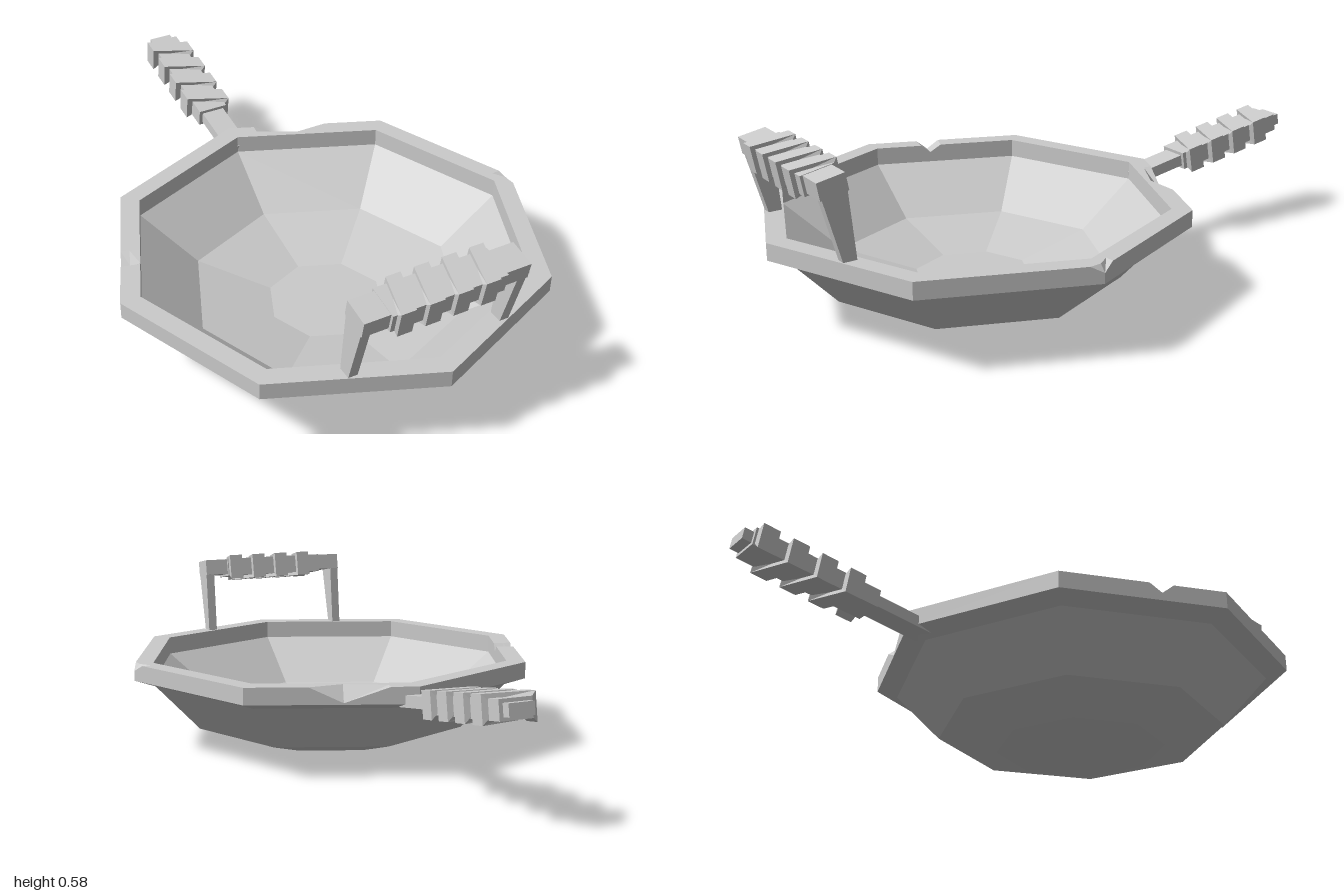
import * as THREE from 'three';

const V = (x, y, z) => new THREE.Vector3(x, y, z);
const material = new THREE.MeshStandardMaterial({ color: 0xcccccc, flatShading: true });

function add(parent, name, geometry, x = 0, y = 0, z = 0) {
  const mesh = new THREE.Mesh(geometry, material);
  mesh.name = name;
  mesh.position.set(x, y, z);
  parent.add(mesh);
  return mesh;
}

// Skin a row of equal-length cross-sections
function loft(sections, closeProfile, closeRow) {
  const n = sections[0].length, m = sections.length;
  const pts = sections.flat(), index = [];
  for (let i = 0; i < (closeRow ? m : m - 1); i++) {
    for (let j = 0; j < (closeProfile ? n : n - 1); j++) {
      const i2 = (i + 1) % m, j2 = (j + 1) % n;
      const a = i * n + j, b = i2 * n + j, c = i2 * n + j2, d = i * n + j2;
      index.push(a, b, c, a, c, d);
    }
  }
  const g = new THREE.BufferGeometry().setFromPoints(pts);
  g.setIndex(index);
  g.computeVertexNormals();
  return g;
}

// Strip wound round a square bar that runs along local z
function wrapGeometry(hx, hy, start, topStep, bottomStep, width, turns) {
  const corners = [[1, -1], [1, 1], [-1, 1], [-1, -1]];
  const sections = [];
  let s = start;
  for (let k = 0; k < turns * 4; k++) {
    const [cx, cy] = corners[k % 4];
    if (k % 4 === 2) s -= topStep;
    if (k % 4 === 0 && k > 0) s -= bottomStep;
    const at = (inset, ds) => V(cx * (hx - inset), cy * (hy - inset), s + ds);
    const w = width / 2;
    sections.push([at(0.02, -w), at(0, -w * 0.85), at(0, w * 0.85), at(0.02, w)]);
  }
  // close both ends
  const flat = (sec) => {
    const c = sec.reduce((sum, p) => sum.add(p), V(0, 0, 0)).divideScalar(4);
    return sec.map(() => c.clone());
  };
  sections.unshift(flat(sections[0]));
  sections.push(flat(sections[sections.length - 1]));
  return loft(sections, true, false);
}

// Point on an octagon; u counts corners, starting at +z and going towards +x
function octagon(u, r, y) {
  const corner = (e) => V(r * Math.sin(e * Math.PI / 4), y, r * Math.cos(e * Math.PI / 4));
  const e = Math.floor(u);
  return corner(e).lerp(corner(e + 1), u - e);
}

function rimGeometry() {
  // [position, outer height, crest radius, crest height, inner height]
  const plain = (u) => [u, 0.3, 0.67, 0.3, 0.3];
  const stations = [
    plain(0), plain(1),
    plain(1.92), [2, 0.278, 0.68, 0.3, 0.3], plain(2.08),      // chipped corner
    plain(3), plain(3.37), [3.57, 0.25, 0.652, 0.3, 0.3], plain(3.84), // large chip
    plain(4), plain(5),
    plain(5.535), [5.61, 0.27, 0.67, 0.27, 0.275], plain(5.68), // notch
    plain(6), plain(7),
  ];
  return loft(stations.map(([u, yo, rc, yc, yi]) => [
    octagon(u, 0.63, 0.22), octagon(u, 0.7, 0.245), octagon(u, 0.7, yo),
    octagon(u, rc, yc), octagon(u, 0.635, yi), octagon(u, 0.635, 0.24),
  ]), false, true);
}

export function createModel() {
  const model = new THREE.Group();
  model.name = 'fryingPan';

  // Pan body: outer and inner shells, eight-sided
  const pan = new THREE.Group();
  pan.name = 'pan';
  pan.position.z = 0.3;
  model.add(pan);
  const lathe = (pts) => new THREE.LatheGeometry(pts.map(([r, y]) => new THREE.Vector2(r, y)), 8);
  add(pan, 'outerBowl', lathe([[0, 0], [0.28, 0], [0.48, 0.06], [0.63, 0.22]]));
  add(pan, 'innerBowl', lathe([[0.635, 0.24], [0.44, 0.095], [0.19, 0.04], [0, 0.04]]));
  add(pan, 'rim', rimGeometry());

  // Long rear handle, rising to the back
  const handle = new THREE.Group();
  handle.name = 'rearHandle';
  handle.position.set(0, 0.315, -0.75);
  handle.rotation.x = 0.165;
  model.add(handle);
  add(handle, 'handleShaft', new THREE.BoxGeometry(0.08, 0.038, 0.22), 0, 0, 0.31);
  add(handle, 'handleCore', new THREE.BoxGeometry(0.104, 0.06, 0.435), 0, 0, -0.002);
  add(handle, 'handleTip', new THREE.BoxGeometry(0.08, 0.038, 0.04), 0, 0, -0.23);
  add(handle, 'handleWrap', wrapGeometry(0.07, 0.043, 0.17, 0.05, 0.05, 0.066, 4));

  // Front loop handle, leaning outwards
  const loop = new THREE.Group();
  loop.name = 'frontHandle';
  loop.position.set(0, 0.525, 0.905);
  loop.rotation.x = 0.18;
  model.add(loop);
  for (const side of [-1, 1]) {
    // post widens towards the top
    const post = new THREE.BoxGeometry(0.03, 0.275, 0.09);
    const p = post.attributes.position;
    for (let i = 0; i < p.count; i++) if (p.getY(i) < 0) p.setZ(i, p.getZ(i) * 0.45);
    add(loop, 'handlePost', post, side * 0.253, -0.107, 0);
    add(loop, 'handleBarEnd', new THREE.BoxGeometry(0.088, 0.055, 0.09), side * 0.224, 0.003, 0);
  }
  add(loop, 'gripCore', new THREE.BoxGeometry(0.37, 0.064, 0.108));
  const wrap = add(loop, 'gripWrap', wrapGeometry(0.067, 0.044, 0.155, 0.03, 0.06, 0.056, 4));
  wrap.rotation.y = Math.PI / 2;

  return model;
}
